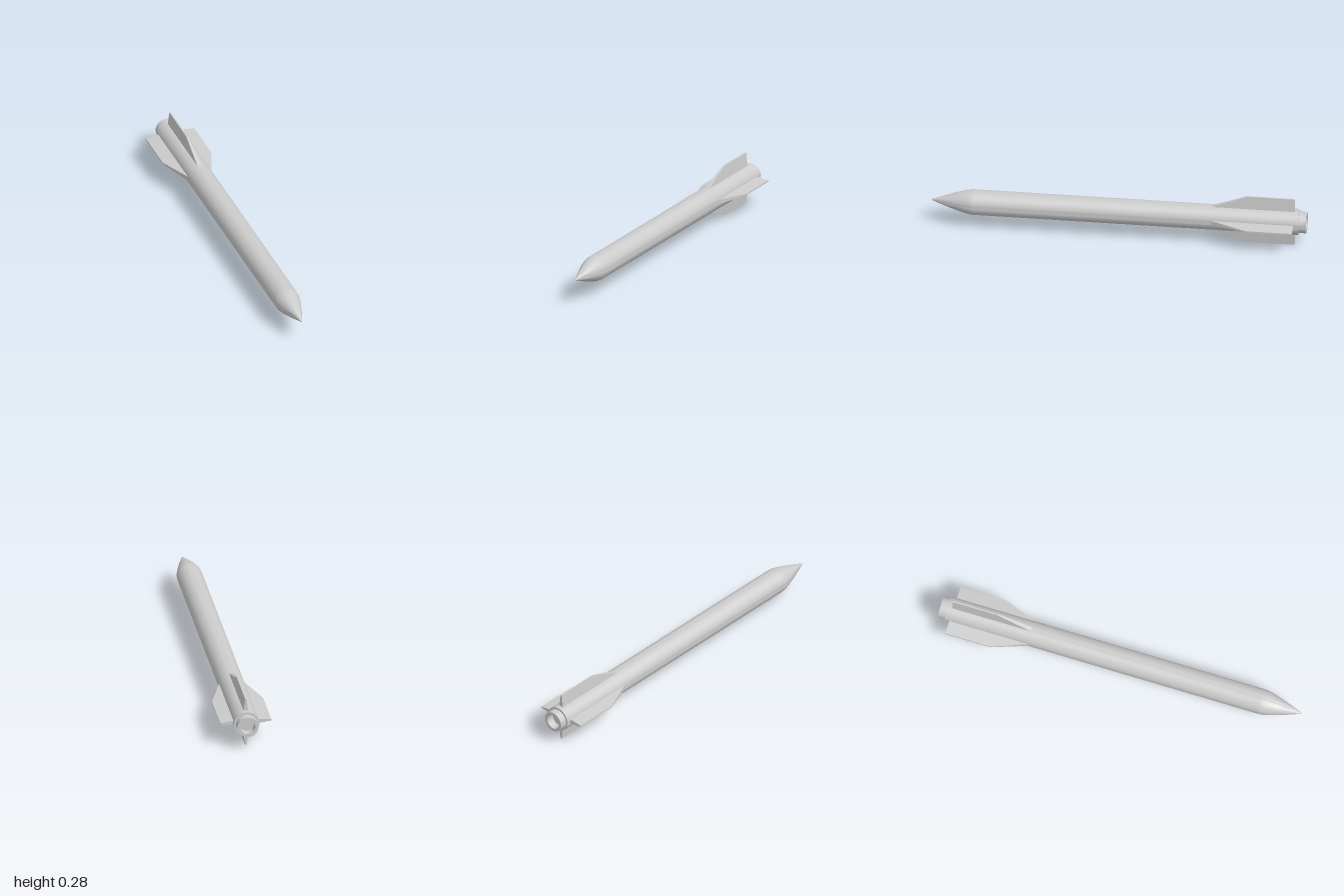
import * as THREE from 'three';
import { toCreasedNormals } from 'three/addons/utils/BufferGeometryUtils.js';

const R = 0.068; // body radius
const AXIS_Y = 0.1375; // height of the long axis

// Revolves [radius, z] points, listed back to front, around the z axis
function revolve(name, points, material) {
  const lathe = new THREE.LatheGeometry(points.map(([r, z]) => new THREE.Vector2(r, z)), 48);
  lathe.rotateX(Math.PI / 2);
  const mesh = new THREE.Mesh(toCreasedNormals(lathe, 0.5), material);
  mesh.name = name;
  return mesh;
}

// Upright fin: thick swept root tapering to a thin tip
function finGeometry() {
  const root = { y: 0.062, half: 0.013, front: -0.485 };
  const tip = { y: 0.1375, half: 0.004, front: -0.685 };
  const back = -0.935;
  const geometry = new THREE.BoxGeometry(1, 1, 1).toNonIndexed();
  const p = geometry.attributes.position;
  for (let i = 0; i < p.count; i++) {
    const end = p.getY(i) > 0 ? tip : root;
    p.setXYZ(i, Math.sign(p.getX(i)) * end.half, end.y, p.getZ(i) > 0 ? end.front : back);
  }
  geometry.computeVertexNormals();
  return geometry;
}

export function createModel() {
  const material = new THREE.MeshStandardMaterial({ color: 0xcccccc });
  const model = new THREE.Group();
  model.name = 'rocket';

  // Long tube, closed at the back around the nozzle
  model.add(revolve('body', [[0.05, -0.96], [R, -0.96], [R, 0.78]], material));

  // Slightly rounded shoulder running into a pointed nose
  model.add(revolve('noseCone', [
    [R, 0.78], [0.066, 0.8], [0.0605, 0.825], [0.0475, 0.87],
    [0.033, 0.915], [0.018, 0.957], [0.004, 0.996], [0, 1],
  ], material));

  // Hollow ring with a recessed floor
  model.add(revolve('nozzle', [
    [0, -0.955], [0.04, -0.955], [0.04, -1], [0.057, -1], [0.057, -0.955],
  ], material));

  // Four fins in a cross
  const geometry = finGeometry();
  ['topFin', 'leftFin', 'bottomFin', 'rightFin'].forEach((name, i) => {
    const fin = new THREE.Mesh(geometry, material);
    fin.name = name;
    fin.rotation.z = -i * Math.PI / 2;
    model.add(fin);
  });

  model.position.y = AXIS_Y;
  const group = new THREE.Group();
  group.add(model);
  return group;
}
